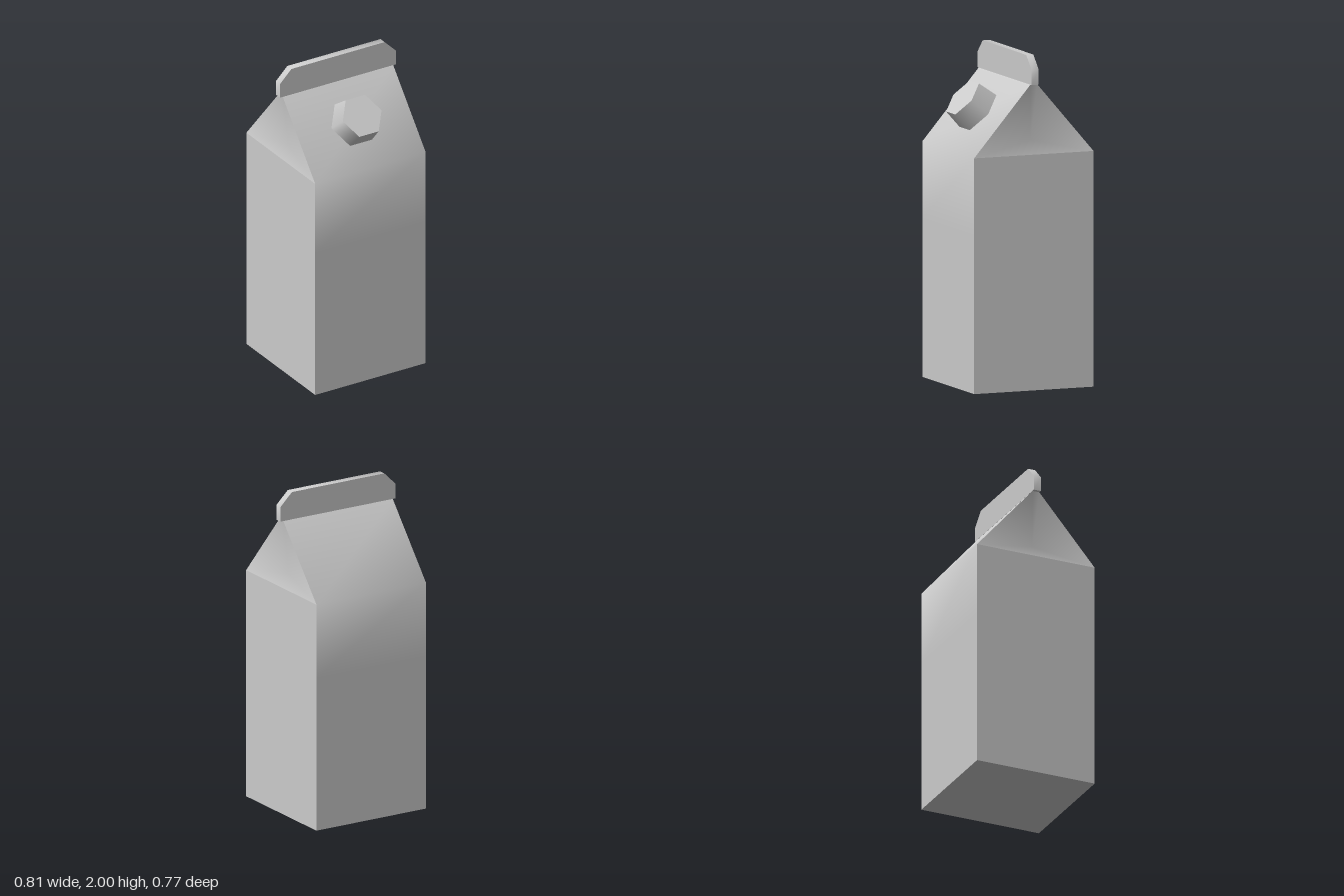
import * as THREE from 'three';
import { toCreasedNormals } from 'three/addons/utils/BufferGeometryUtils.js';

const HALF = 0.385, SHOULDER = 1.41, RIDGE = 1.83, RIDGE_HALF = 0.022;
const CREASE = 0.8;

// Geometry from a list of planar, counter-clockwise polygons
function fromPolygons(polygons) {
  const positions = [];
  for (const p of polygons) {
    for (let i = 1; i < p.length - 1; i++) positions.push(...p[0], ...p[i], ...p[i + 1]);
  }
  const geometry = new THREE.BufferGeometry();
  geometry.setAttribute('position', new THREE.Float32BufferAttribute(positions, 3));
  geometry.computeVertexNormals();
  return toCreasedNormals(geometry, CREASE);
}

// Mirrors polygons across x = 0, keeping them facing outward
const mirrorX = (polygons) =>
  polygons.map((p) => p.map(([x, y, z]) => [-x, y, z]).reverse());

export function createModel() {
  const model = new THREE.Group();
  model.name = 'milkCarton';
  const card = new THREE.MeshStandardMaterial({ color: 0xcccccc });
  card.name = 'plainGrey';

  const add = (name, geometry) => {
    const mesh = new THREE.Mesh(geometry, card);
    mesh.name = name;
    model.add(mesh);
    return mesh;
  };

  // Carton body: closed [z, y] profile swept across the width, plus flat sides
  const profile = [
    [HALF, 0], [HALF, 0.95], [HALF, SHOULDER], [RIDGE_HALF, RIDGE],
    [-RIDGE_HALF, RIDGE], [-HALF, SHOULDER], [-HALF, 0.95], [-HALF, 0],
  ];
  const shell = profile.map(([z0, y0], i) => {
    const [z1, y1] = profile[(i + 1) % profile.length];
    return [[-HALF, y0, z0], [HALF, y0, z0], [HALF, y1, z1], [-HALF, y1, z1]];
  });
  const side = [[
    [HALF, 0, HALF], [HALF, 0, -HALF], [HALF, SHOULDER, -HALF], [HALF, SHOULDER, HALF],
  ]];
  add('cartonBody', fromPolygons([...shell, ...side, ...mirrorX(side)]));

  // Gables: folded slightly inward around a point near the shoulder
  const fold = [HALF - 0.05, 1.49, 0];
  const rim = [
    [HALF, SHOULDER, HALF], [HALF, SHOULDER, -HALF],
    [HALF, RIDGE, -RIDGE_HALF], [HALF, RIDGE, RIDGE_HALF],
  ];
  const gable = rim.map((p, i) => [p, rim[(i + 1) % rim.length], fold]);
  add('leftGable', fromPolygons(gable));
  add('rightGable', fromPolygons(mirrorX(gable)));

  // Sealed top fin with chamfered upper corners
  const fin = new THREE.Shape([
    [-0.405, RIDGE], [0.405, RIDGE], [0.405, 1.92],
    [0.325, 2], [-0.325, 2], [-0.405, 1.92],
  ].map(([x, y]) => new THREE.Vector2(x, y)));
  const finGeometry = new THREE.ExtrudeGeometry(fin, { depth: 0.046, bevelEnabled: false });
  finGeometry.translate(0, 0, -0.023);
  add('topSeal', toCreasedNormals(finGeometry, CREASE));

  // Six-sided pouring cap standing square on the front slope
  const cap = add('cap', new THREE.CylinderGeometry(0.135, 0.153, 0.135, 6, 1, false, Math.PI / 2));
  cap.position.set(0, 1.673, 0.242);
  cap.rotation.x = Math.atan2(RIDGE - SHOULDER, HALF - RIDGE_HALF);

  return model;
}
